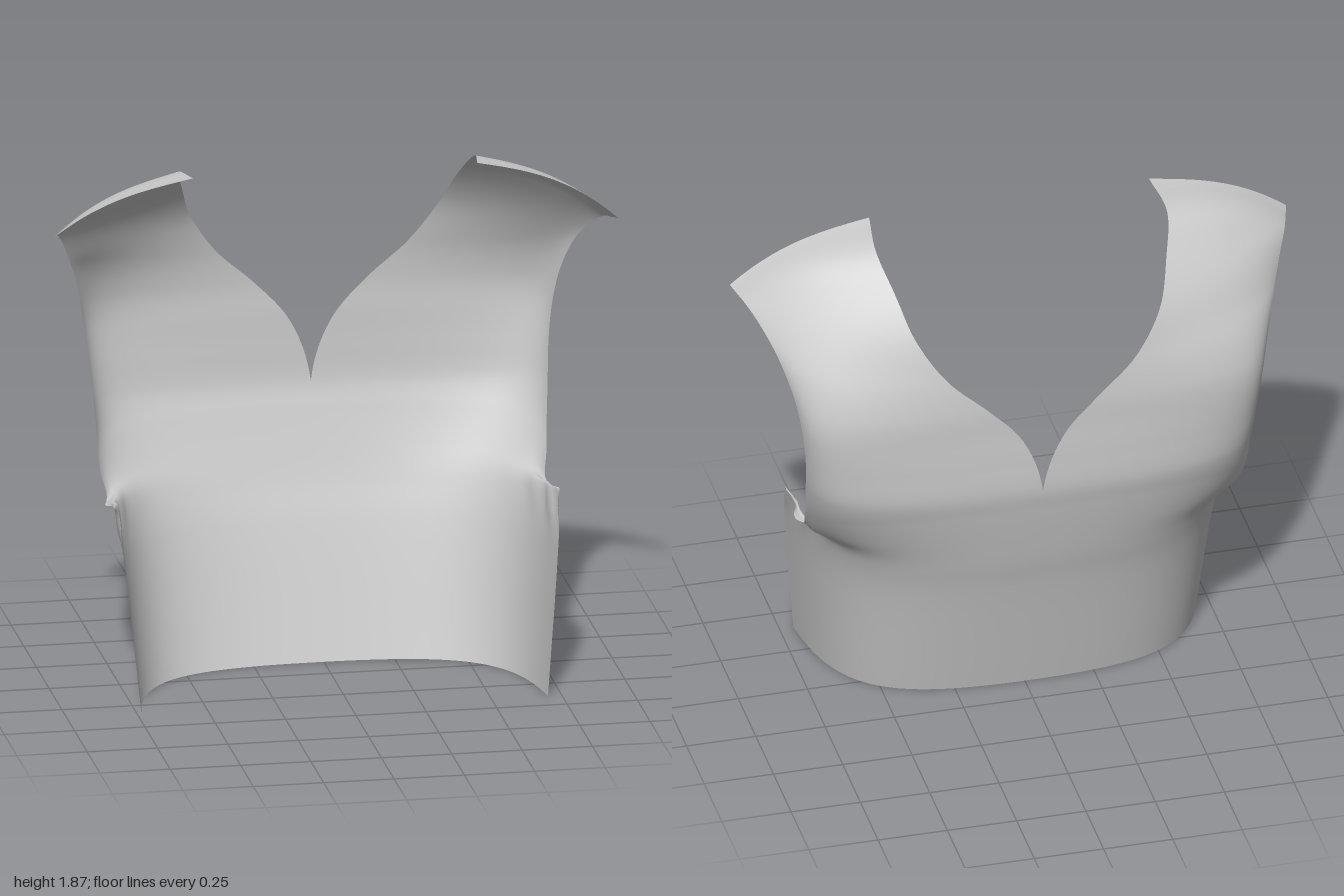
import * as THREE from 'three';
import { mergeGeometries, mergeVertices } from 'three/addons/utils/BufferGeometryUtils.js';

const { smoothstep, lerp } = THREE.MathUtils;
const curve = points => new THREE.CatmullRomCurve3(points.map(p => new THREE.Vector3(...p)));

// Centre back from the hem up, then the neckline to the shoulder end
const innerEdge = curve([
  [0, 0, -.135], [0, .48, -.265], [0, .61, -.305], [0, .74, -.34], [0, .86, -.37], [0, .95, -.39], [.03, 1.08, -.395],
  [.09, 1.2, -.395], [.2, 1.32, -.395], [.34, 1.45, -.375], [.44, 1.6, -.32], [.49, 1.74, -.215], [.525, 1.84, -.09], [.505, 1.87, .09],
]);
// Side seam from the hem up, then the armhole to the shoulder end
const outerEdge = curve([
  [.7, 0, .4], [.75, .55, .33], [.765, .7, .25], [.765, .67, .05], [.785, .8, -.1], [.805, .97, -.19], [.815, 1.1, -.23],
  [.83, 1.23, -.245], [.855, 1.37, -.22], [.895, 1.5, -.15], [.94, 1.59, -.05], [.97, 1.63, .02], [.985, 1.64, .07], [1, 1.65, .12],
]);

const ROWS = 104, COLS = 36;

// Cross-section between the edges: rounded round the body, flatter over the shoulder
function crossSection(t) {
  const a = innerEdge.getPoint(t), b = outerEdge.getPoint(t);
  const d = b.clone().sub(a);
  const round = 1 - .8 * smoothstep(t, 7 / 13, 11 / 13);
  const control = (fx, fy, fz, straight) => new THREE.Vector3(
    a.x + d.x * lerp(straight, fx, round),
    a.y + d.y * lerp(straight, fy, round),
    a.z + d.z * lerp(straight, fz, round));
  return new THREE.CubicBezierCurve3(a, control(.71, 0, 0, 1 / 3), control(.94, 0, .2, 2 / 3), b);
}

// One half of the panel; side is +1 (left) or -1 (right)
function halfPanel(side) {
  const pos = [], index = [];
  for (let i = 0; i <= ROWS; i++) {
    const t = i / ROWS, section = crossSection(t);
    for (let j = 0; j <= COLS; j++) {
      const u = j / COLS, p = section.getPoint(u);
      // slight crown across the shoulder
      p.y += .02 * Math.sin(Math.PI * u) * smoothstep(t, 9 / 13, 11 / 13);
      // gathered cloth under the arm
      const gather = Math.exp(-(((p.y - .66) / .07) ** 2)) * u ** 6;
      p.x += .012 * gather * Math.sin(p.z * 42 + p.y * 25);
      // the right side is cut slightly differently at the seam and shoulder
      if (side < 0) {
        const low = u * u * (1 - smoothstep(p.y, .6, 1));
        const high = u * u * smoothstep(p.y, 1.5, 1.66);
        p.x += .033 * low;
        p.z -= .065 * low + .03 * high;
        p.y += .03 * high;
      }
      pos.push(side * Math.max(0, p.x), Math.max(0, p.y), p.z);
    }
  }
  const w = COLS + 1;
  for (let i = 0; i < ROWS; i++) {
    for (let j = 0; j < COLS; j++) {
      const a = i * w + j, b = a + 1, c = a + w, d = c + 1;
      if (side > 0) index.push(a, c, b, b, c, d);
      else index.push(a, b, c, b, d, c);
    }
  }
  const g = new THREE.BufferGeometry();
  g.setAttribute('position', new THREE.Float32BufferAttribute(pos, 3));
  g.setIndex(index);
  return g;
}

export function createModel() {
  const group = new THREE.Group();
  group.name = 'garmentBack';
  // weld both halves along the centre back for smooth shading
  const geometry = mergeVertices(mergeGeometries([halfPanel(1), halfPanel(-1)]), 1e-5);
  geometry.computeVertexNormals();
  const panel = new THREE.Mesh(geometry, new THREE.MeshStandardMaterial({ color: 0xcccccc, side: THREE.DoubleSide }));
  panel.name = 'backPanel';
  group.add(panel);
  return group;
}
